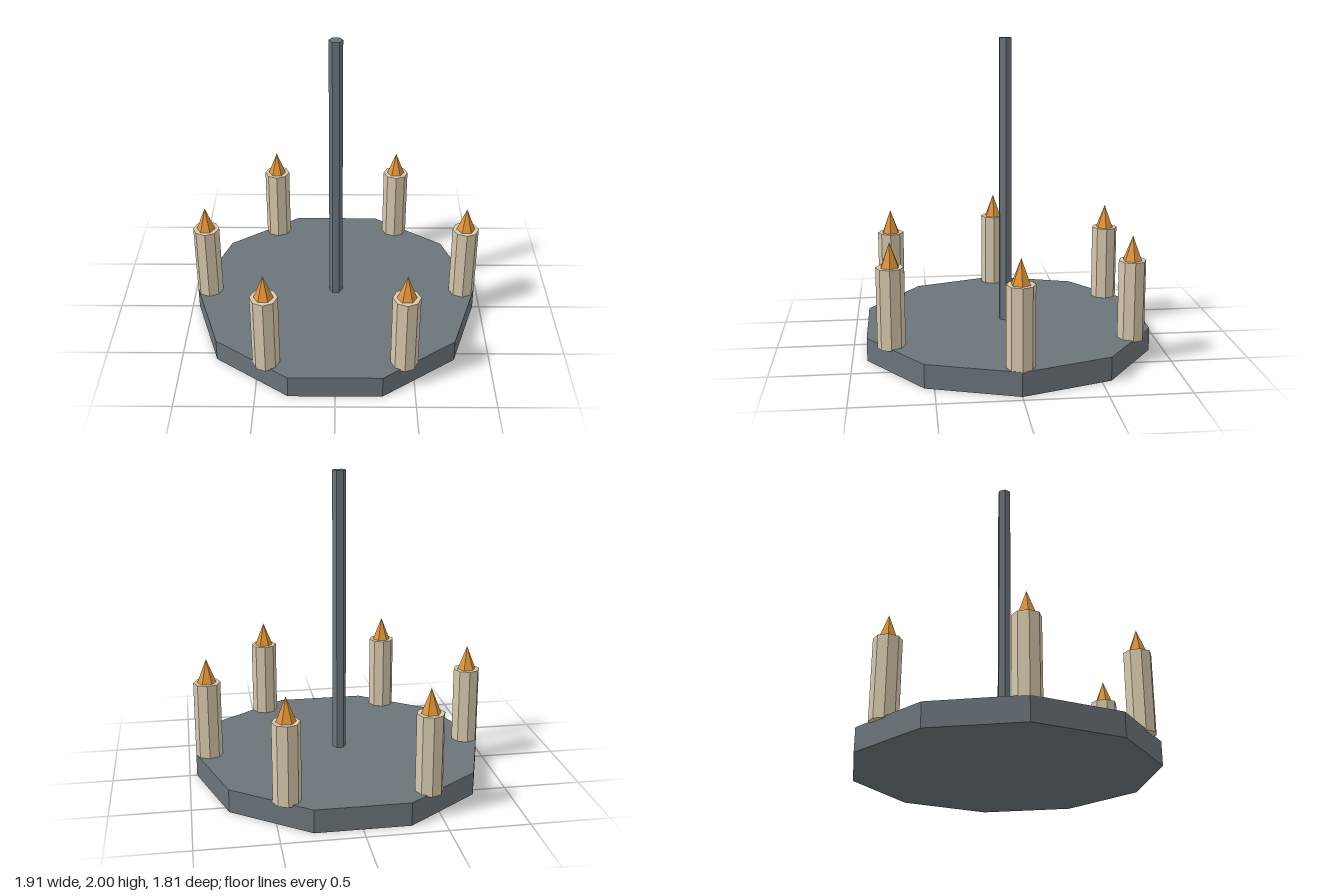
import * as THREE from 'three';

export function createModel() {
  const model = new THREE.Group();
  const mat = (name, color) => {
    const m = new THREE.MeshStandardMaterial({ color, flatShading: true });
    m.name = name;
    return m;
  };
  const iron = mat('iron grey', 0x6b747a);
  const wax = mat('cream wax', 0xd6c8ac);
  const flameOrange = mat('flame orange', 0xe0943a);

  // Upright prism or cone with a corner on the x axis, from y0 to y1
  const prism = (name, material, sides, rTop, rBottom, y0, y1) => {
    const geo = new THREE.CylinderGeometry(rTop, rBottom, y1 - y0, sides);
    geo.rotateY(Math.PI / 2);
    geo.translate(0, (y0 + y1) / 2, 0);
    const mesh = new THREE.Mesh(geo, material);
    mesh.name = name;
    return mesh;
  };

  // Ten-sided plate and its hanging rod
  model.add(prism('plate', iron, 10, 0.953, 0.953, 0, 0.15));
  model.add(prism('rod', iron, 6, 0.044, 0.044, 0.15, 2));

  // Ring of six candles along the rim
  for (let i = 0; i < 6; i++) {
    const a = (i * Math.PI) / 3;
    const candle = new THREE.Group();
    candle.name = 'candle';
    candle.add(prism('candleStick', wax, 8, 0.087, 0.087, 0.14, 0.65));
    candle.add(prism('flame', flameOrange, 6, 0, 0.061, 0.65, 0.806));
    candle.position.set(Math.cos(a) * 0.866, 0, Math.sin(a) * 0.866);
    model.add(candle);
  }
  return model;
}
